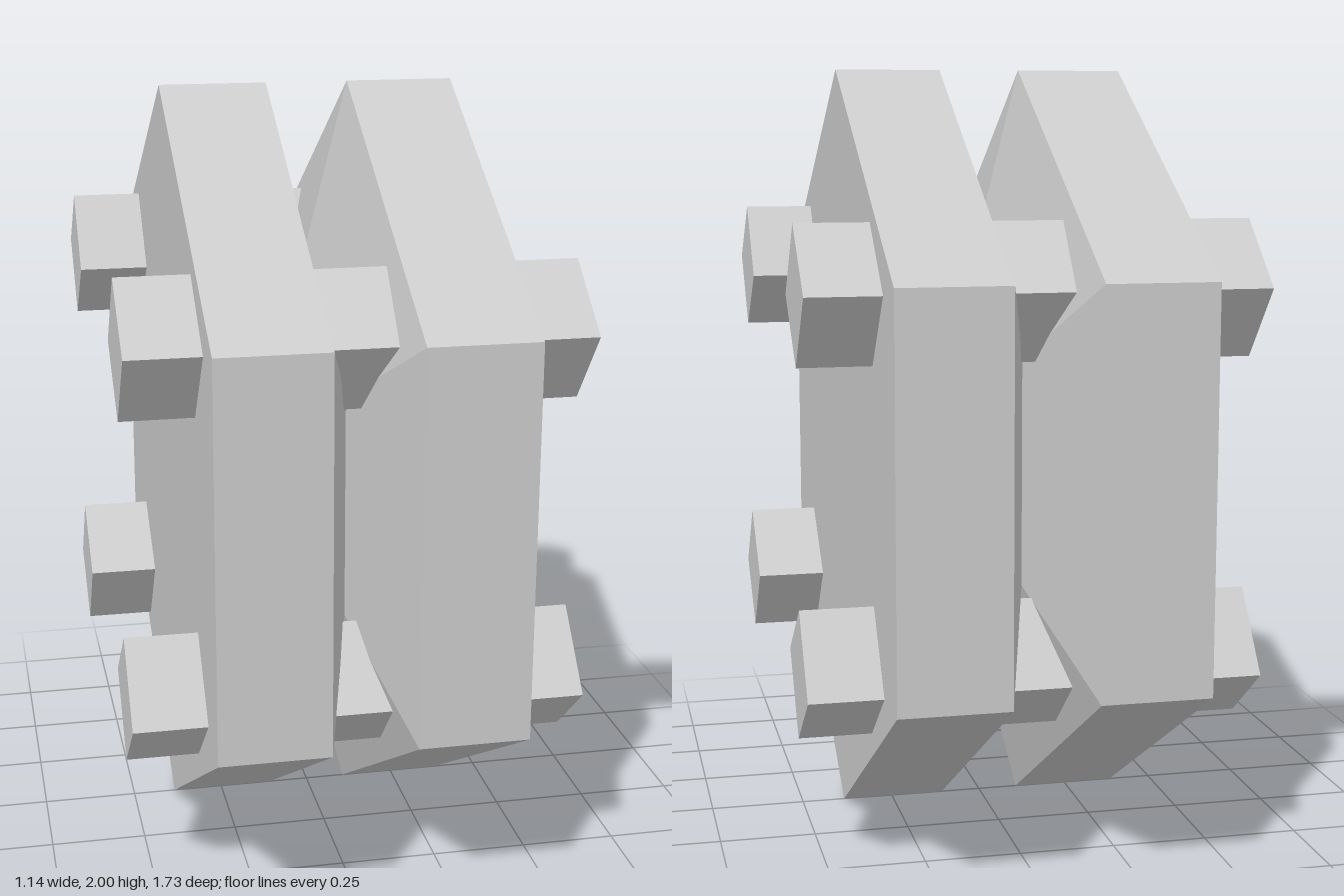
import * as THREE from 'three';

export function createModel() {
  const model = new THREE.Group();
  model.name = 'groovedHexWheel';
  const material = new THREE.MeshStandardMaterial({ color: 0xcccccc, flatShading: true });

  // Six-sided wheel with a V groove round the rim, turned so its axis runs along x
  const profile = [
    [0, -0.385], [1, -0.385], [1, -0.107], [0.577, 0], [1, 0.107], [1, 0.385], [0, 0.385],
  ].map(([r, h]) => new THREE.Vector2(r, h));
  const wheelGeometry = new THREE.LatheGeometry(profile, 6, Math.PI / 2);
  wheelGeometry.rotateZ(-Math.PI / 2);
  const wheel = new THREE.Mesh(wheelGeometry, material);
  wheel.name = 'wheel';
  wheel.position.y = 1;
  model.add(wheel);

  // Four square pegs through the wheel, each turned a little differently
  const pegGeometry = new THREE.BoxGeometry(1.14, 0.243, 0.243);
  const pegs = [
    { name: 'frontUpperPeg', y: 1.45, z: 0.556, turn: 39 },
    { name: 'backUpperPeg', y: 1.458, z: -0.549, turn: 48.7 },
    { name: 'frontLowerPeg', y: 0.547, z: 0.546, turn: 49 },
    { name: 'backLowerPeg', y: 0.52, z: -0.524, turn: 37 },
  ];
  for (const { name, y, z, turn } of pegs) {
    const peg = new THREE.Mesh(pegGeometry, material);
    peg.name = name;
    peg.position.set(0, y, z);
    peg.rotation.x = THREE.MathUtils.degToRad(turn);
    model.add(peg);
  }

  return model;
}
